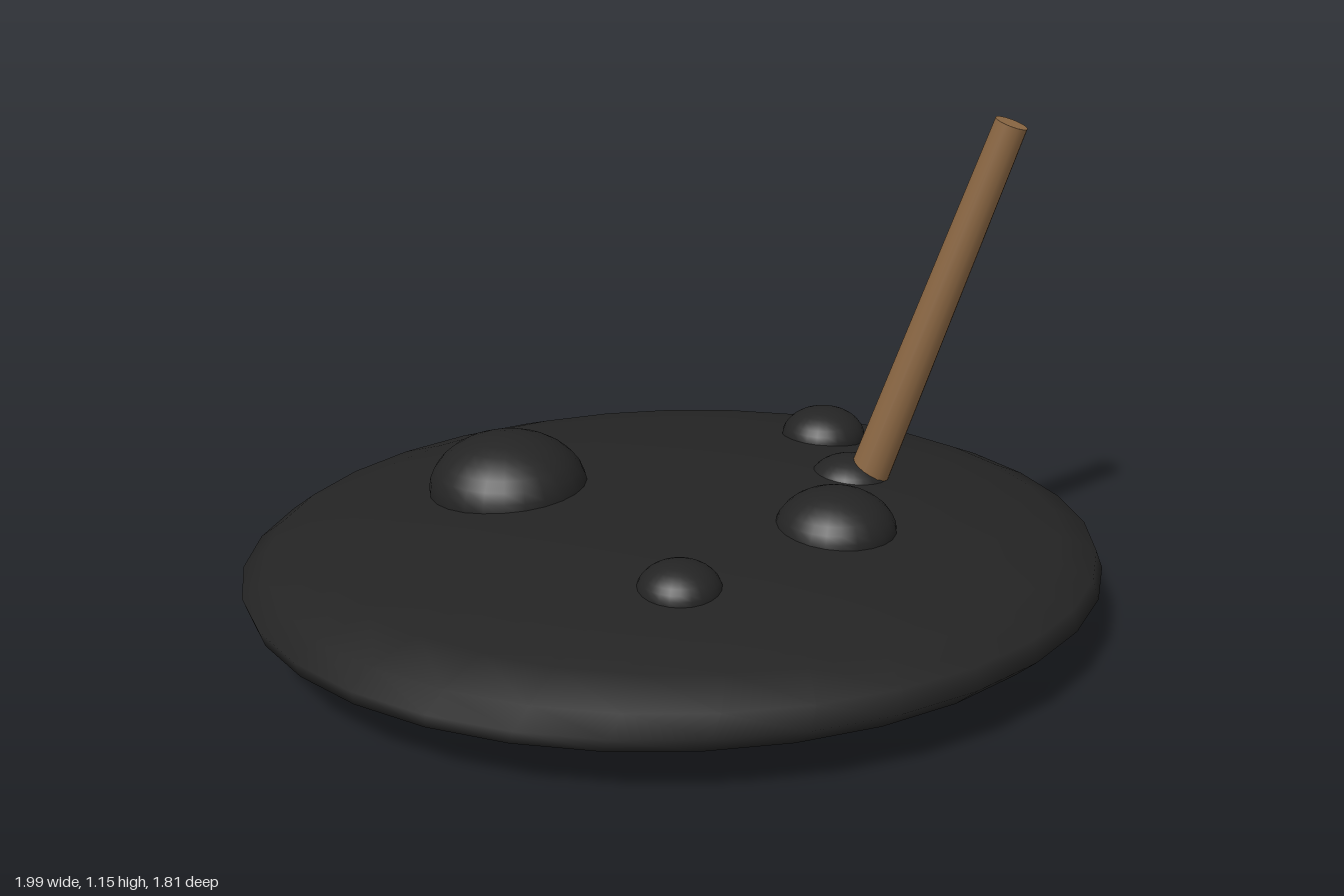
import * as THREE from 'three';

export function createModel() {
  const model = new THREE.Group();
  const tar = new THREE.MeshStandardMaterial({ name: 'tar black', color: 0x242424 });
  const wood = new THREE.MeshStandardMaterial({ name: 'wood brown', color: 0x8b6743 });

  // Flattened puddle, very slightly tilted towards +x
  const puddle = new THREE.Group();
  puddle.name = 'puddle';
  puddle.scale.set(1, 0.147, 0.903);
  puddle.position.y = 0.149;
  const disc = new THREE.Mesh(new THREE.SphereGeometry(1, 32, 12), tar);
  disc.name = 'puddleBody';
  disc.rotation.z = -0.08;
  puddle.add(disc);
  model.add(puddle);

  // Bubbles half sunk into the surface: x, y, z, radius
  const bubbles = new THREE.Group();
  bubbles.name = 'bubbles';
  const bubbleShape = new THREE.SphereGeometry(1, 24, 16);
  for (const [x, y, z, r] of [
    [-0.352, 0.275, -0.205, 0.187],
    [0.298, 0.268, 0.248, 0.138],
    [0.497, 0.262, -0.355, 0.105],
    [-0.127, 0.262, 0.445, 0.092],
    [0.452, 0.25, -0.055, 0.1],
  ]) {
    const bubble = new THREE.Mesh(bubbleShape, tar);
    bubble.name = 'bubble';
    bubble.position.set(x, y, z);
    bubble.scale.set(r, r * 0.7, r);
    bubbles.add(bubble);
  }
  model.add(bubbles);

  // Leaning stick, narrower at the top
  const foot = new THREE.Vector3(0.485, 0.27, -0.027);
  const tip = new THREE.Vector3(0.74, 1.143, 0.125);
  const axis = tip.clone().sub(foot);
  const stick = new THREE.Mesh(new THREE.CylinderGeometry(0.038, 0.048, axis.length(), 16), wood);
  stick.name = 'stick';
  stick.position.copy(foot).add(tip).multiplyScalar(0.5);
  stick.quaternion.setFromUnitVectors(new THREE.Vector3(0, 1, 0), axis.normalize());
  model.add(stick);

  return model;
}
